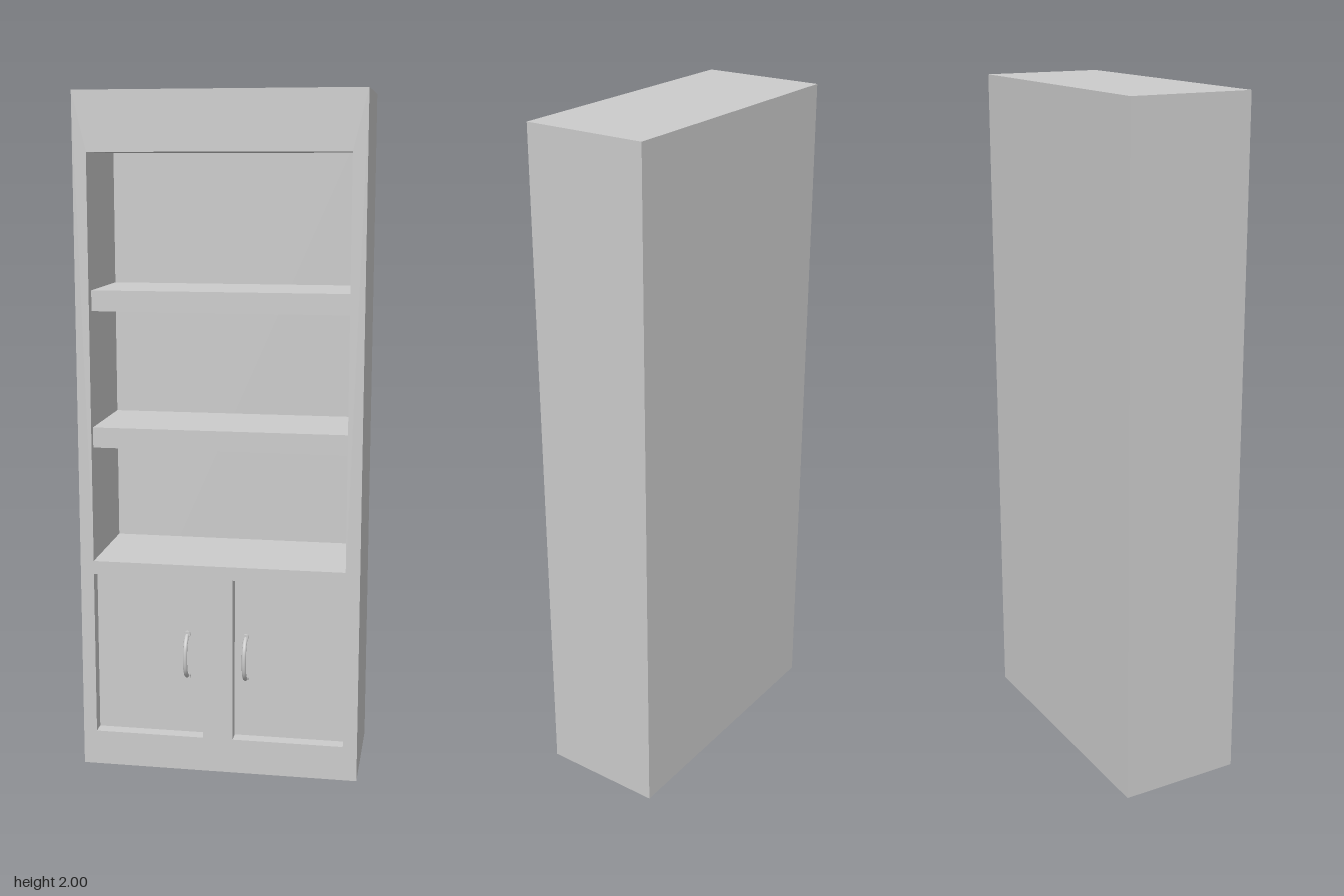
import * as THREE from 'three';

const W = 0.83, H = 2, BACK = -0.186, FRONT = 0.177, BASE = 0.1;
const INNER_BACK = -0.14, DOOR_Z = 0.137;

export function createModel() {
  const model = new THREE.Group();
  const grey = new THREE.MeshStandardMaterial({ color: 0xcccccc });
  const thin = new THREE.MeshStandardMaterial({ color: 0xcccccc, side: THREE.DoubleSide });

  const add = (geometry, name, x = 0, y = 0, z = 0, material = grey, parent = model) => {
    const mesh = new THREE.Mesh(geometry, material);
    mesh.name = name;
    mesh.position.set(x, y, z);
    parent.add(mesh);
    return mesh;
  };
  // Box given by its limits on each axis
  const block = (name, x0, x1, y0, y1, z0, z1) =>
    add(new THREE.BoxGeometry(x1 - x0, y1 - y0, z1 - z0), name,
      (x0 + x1) / 2, (y0 + y1) / 2, (z0 + z1) / 2);
  const trace = (path, x0, x1, y0, y1) => {
    path.moveTo(x0, y0);
    path.lineTo(x1, y0);
    path.lineTo(x1, y1);
    path.lineTo(x0, y1);
    path.closePath();
    return path;
  };

  // Carcass: front outline with the shelf bay and two door openings cut out
  const doors = [
    { side: 'right', x0: -0.375, x1: -0.047, handleX: -0.1 },
    { side: 'left', x0: 0.043, x1: 0.373, handleX: 0.077 },
  ];
  const outline = trace(new THREE.Shape(), -W / 2, W / 2, BASE, H);
  outline.holes.push(trace(new THREE.Path(), -0.375, 0.373, 0.64, 1.83));
  for (const d of doors) outline.holes.push(trace(new THREE.Path(), d.x0, d.x1, 0.105, 0.6));
  add(new THREE.ExtrudeGeometry(outline, { depth: FRONT - INNER_BACK, bevelEnabled: false }),
    'carcass', 0, 0, INNER_BACK);
  block('backPanel', -W / 2, W / 2, BASE, H, BACK, INNER_BACK);

  // Thin skirt around the hollow underside
  const depth = FRONT - BACK, midZ = (FRONT + BACK) / 2;
  for (const [name, x, z, width, turn] of [
    ['frontSkirt', 0, FRONT, W, 0],
    ['backSkirt', 0, BACK, W, Math.PI],
    ['leftSkirt', W / 2, midZ, depth, Math.PI / 2],
    ['rightSkirt', -W / 2, midZ, depth, -Math.PI / 2],
  ]) {
    add(new THREE.PlaneGeometry(width, BASE), name, x, BASE / 2, z, thin).rotation.y = turn;
  }

  // Shelves, set slightly behind the front frame
  block('upperShelf', -0.375, 0.373, 1.38, 1.44, INNER_BACK, 0.148);
  block('lowerShelf', -0.375, 0.373, 0.98, 1.04, INNER_BACK, 0.157);

  // Recessed doors, each with a bowed handle on two feet
  const bow = new THREE.CatmullRomCurve3([
    [-0.065, DOOR_Z], [-0.057, 0.157], [-0.036, 0.174], [0, 0.18],
    [0.036, 0.174], [0.057, 0.157], [0.065, DOOR_Z],
  ].map(([y, z]) => new THREE.Vector3(0, y, z)));
  for (const d of doors) {
    block(d.side + 'Door', d.x0, d.x1, 0.105, 0.6, INNER_BACK, DOOR_Z);
    const handle = new THREE.Group();
    handle.name = d.side + 'Handle';
    handle.position.set(d.handleX, 0.35, 0);
    add(new THREE.TubeGeometry(bow, 32, 0.0065, 10), 'grip', 0, 0, 0, grey, handle);
    for (const y of [-0.066, 0.066]) {
      add(new THREE.CylinderGeometry(0.0095, 0.0095, 0.012, 12), 'handleFoot',
        0, y, DOOR_Z + 0.004, grey, handle).rotation.x = Math.PI / 2;
    }
    model.add(handle);
  }
  return model;
}
